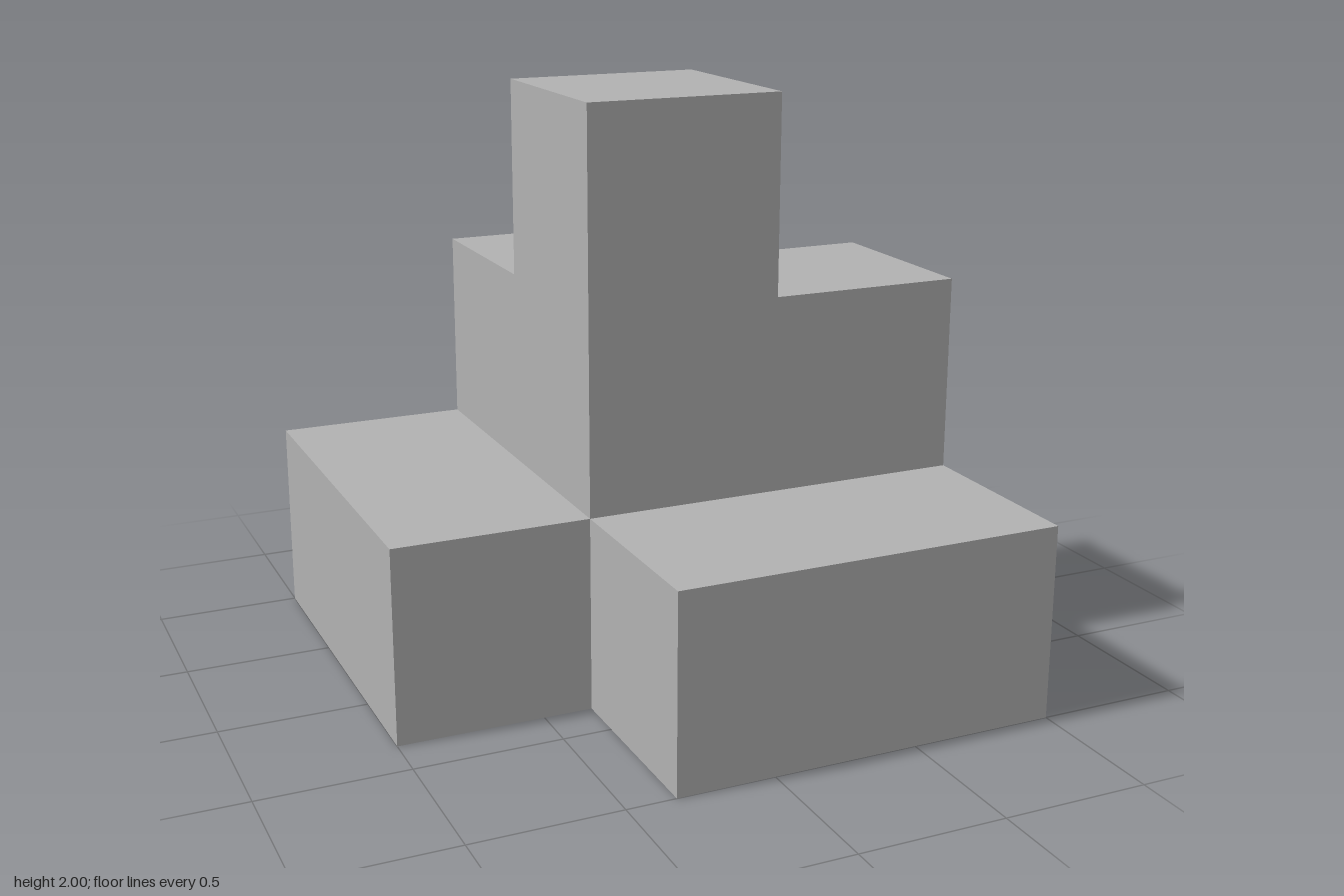
import * as THREE from 'three';
import { mergeGeometries } from 'three/addons/utils/BufferGeometryUtils.js';

const U = 2 / 3; // edge of one cube cell

// Column heights in cells: rows run back to front, columns run -x to +x
const HEIGHTS = [
  [1, 2, 0],
  [1, 3, 2],
  [0, 1, 1],
];
const heightAt = (x, z) => HEIGHTS[z + 1]?.[x + 1] ?? 0;

// Top panel of one column
function topPanel(x, z, h) {
  return new THREE.PlaneGeometry(U, U).rotateX(-Math.PI / 2).translate(x * U, h * U, z * U);
}

// Wall panel on the (dx, dz) side of a column, from height low to high
function wallPanel(x, z, dx, dz, low, high) {
  return new THREE.PlaneGeometry(U, (high - low) * U)
    .rotateY(Math.atan2(dx, dz))
    .translate((x + dx / 2) * U, ((low + high) / 2) * U, (z + dz / 2) * U);
}

export function createModel() {
  const group = new THREE.Group();
  group.name = 'steppedBlocks';
  const grey = new THREE.MeshStandardMaterial({ color: 0xb2b2b2, side: THREE.DoubleSide });
  grey.name = 'grey';

  // Hollow shell, open underneath: one mesh for the columns of each height
  ['lowSteps', 'middleSteps', 'tower'].forEach((name, i) => {
    const h = i + 1;
    const panels = [];
    for (let z = -1; z <= 1; z++) {
      for (let x = -1; x <= 1; x++) {
        if (heightAt(x, z) !== h) continue;
        panels.push(topPanel(x, z, h));
        for (const [dx, dz] of [[1, 0], [-1, 0], [0, 1], [0, -1]]) {
          const low = heightAt(x + dx, z + dz);
          if (low < h) panels.push(wallPanel(x, z, dx, dz, low, h));
        }
      }
    }
    const mesh = new THREE.Mesh(mergeGeometries(panels), grey);
    mesh.name = name;
    group.add(mesh);
  });
  return group;
}
